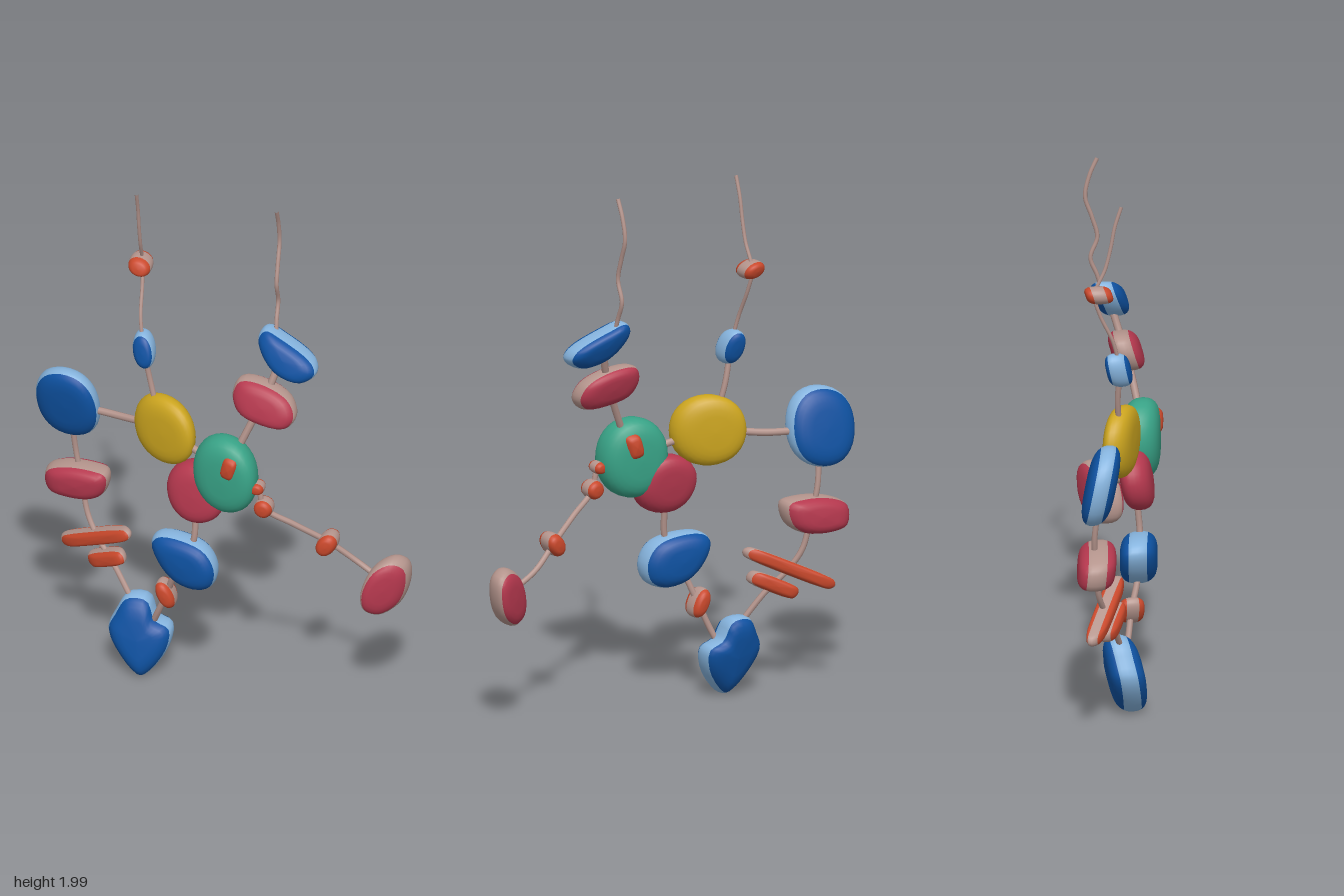
import * as THREE from 'three';

const paint = (name, color) => {
  const m = new THREE.MeshStandardMaterial({ color });
  m.name = name;
  return m;
};

export function createModel() {
  const blue = paint('blue', 0x0e52a2), paleBlue = paint('pale blue', 0x86b4de);
  const crimson = paint('crimson', 0xb5384e), orange = paint('orange', 0xc9482b);
  const clay = paint('clay pink', 0xb5958d), yellow = paint('yellow', 0xcca51f);
  const teal = paint('teal', 0x38a286);
  const group = new THREE.Group();

  // rounded outline, clockwise, relative to the stone's centre
  const oval = (w, h, turn = 0, power = 0.95) => {
    const pts = [];
    for (let i = 0; i < 12; i++) {
      const a = (-i / 12) * Math.PI * 2, c = Math.cos(a), s = Math.sin(a);
      const x = w * Math.sign(c) * Math.abs(c) ** power, y = h * Math.sign(s) * Math.abs(s) ** power;
      pts.push([x * Math.cos(turn) - y * Math.sin(turn), x * Math.sin(turn) + y * Math.cos(turn)]);
    }
    return pts;
  };

  // a pebble: rounded clockwise loops stacked through its depth, leaning by a slope
  // in x and y, with painted front and back faces and a rim of another colour
  function stone(name, [cx, cy, cz], outline, depth, [sx, sy], face, rim = face, rimRows = 2) {
    const curve = new THREE.CatmullRomCurve3(
      outline.map(([x, y]) => new THREE.Vector3(x, y, 0)), true, 'centripetal');
    const N = 32, R = 14, loop = curve.getPoints(N);
    const pos = [], faceIdx = [], rimIdx = [];
    for (let r = 0; r <= R; r++) {
      const a = Math.PI * (0.5 - r / R);
      const k = Math.max(Math.cos(a), 1e-8) ** 0.52;
      const t = Math.sign(Math.sin(a)) * Math.abs(Math.sin(a)) ** 0.85;
      for (let i = 0; i < N; i++) {
        const x = loop[i].x * k, y = loop[i].y * k;
        pos.push(cx + x, cy + y, cz + sx * x + sy * y + depth * t);
      }
    }
    for (let r = 0; r < R; r++) {
      const list = Math.abs(r + 0.5 - R / 2) < rimRows ? rimIdx : faceIdx;
      for (let i = 0; i < N; i++) {
        const j = (i + 1) % N, a = r * N + i, b = r * N + j, c = a + N, d = b + N;
        list.push(a, b, c, b, d, c);
      }
    }
    const geo = new THREE.BufferGeometry();
    geo.setAttribute('position', new THREE.Float32BufferAttribute(pos, 3));
    geo.setIndex([...faceIdx, ...rimIdx]);
    geo.addGroup(0, faceIdx.length, 0);
    geo.addGroup(faceIdx.length, rimIdx.length, 1);
    geo.computeVertexNormals();
    const mesh = new THREE.Mesh(geo, [face, rim]);
    mesh.name = name;
    group.add(mesh);
  }

  // cord through a few points
  function cord(name, radius, pts) {
    const curve = new THREE.CatmullRomCurve3(pts.map(p => new THREE.Vector3(...p)));
    const mesh = new THREE.Mesh(new THREE.TubeGeometry(curve, pts.length * 8, radius, 8), clay);
    mesh.name = name;
    group.add(mesh);
  }

  // large stones
  stone('bigBlueStone', [-0.61, 1.02, -0.125], oval(0.125, 0.148, 0.1, 0.9), 0.058, [0.2, 0.2], blue, paleBlue);
  stone('yellowStone', [-0.207, 1.038, 0.02], oval(0.127, 0.135), 0.055, [0.42, 0], yellow);
  stone('tealStone', [0.052, 0.95, 0.138], oval(0.127, 0.153), 0.072, [0.22, 0], teal);
  stone('roundCrimsonStone', [-0.068, 0.838, 0.1], oval(0.115, 0.115, 0.3), 0.06, [0.2, -0.15], crimson);
  stone('tealInlay', [0.077, 1.005, 0.142], oval(0.037, 0.058, -0.25, 0.6), 0.082, [0.22, 0], orange);

  // right upper strand
  stone('upperCrimsonStone', [0.192, 1.25, 0.105], [[-0.125, 0.02], [-0.1, 0.075], [0, 0.075],
    [0.1, 0.03], [0.125, -0.03], [0.09, -0.075], [-0.03, -0.07], [-0.1, -0.04]], 0.058, [0.1, -0.3], crimson, clay);
  stone('upperBlueStone', [0.26, 1.435, 0.055], [[-0.11, 0.05], [-0.085, 0.085], [-0.02, 0.065],
    [0.11, -0.005], [0.125, -0.045], [0.07, -0.085], [-0.02, -0.07], [-0.08, -0.02]], 0.06, [0.1, -0.35], blue, paleBlue);

  // left upper strand
  stone('topOrangeBead', [-0.325, 1.66, -0.085], oval(0.045, 0.034, -0.3), 0.05, [0, -0.3], orange, clay);
  stone('smallBlueStone', [-0.292, 1.35, -0.005], oval(0.042, 0.068, 0.2), 0.046, [0.2, -0.2], blue, paleBlue, 3);

  // side branch
  stone('branchBeadA', [0.18, 0.925, 0.17], oval(0.028, 0.024), 0.035, [0, 0], orange, clay);
  stone('branchBeadB', [0.205, 0.845, 0.17], oval(0.036, 0.036, -0.6), 0.04, [0, 0], orange, clay);
  stone('branchBeadC', [0.43, 0.69, 0.105], oval(0.036, 0.05, -0.6), 0.05, [-0.1, 0], orange, clay);
  stone('branchCrimsonStone', [0.645, 0.53, 0.085], [[0.03, 0.115], [0.08, 0.085], [0.083, 0], [0.05, -0.075],
    [-0.02, -0.115], [-0.075, -0.09], [-0.085, -0.02], [-0.04, 0.08]], 0.06, [-0.4, 0], crimson, clay, 3);

  // lower loop, left side
  stone('sideCrimsonStone', [-0.572, 0.692, -0.135], [[-0.125, 0.025], [-0.06, 0.06], [0.06, 0.07], [0.12, 0.055],
    [0.11, -0.02], [0.06, -0.06], [-0.06, -0.07], [-0.12, -0.05]], 0.072, [0.15, 0.1], crimson, clay);
  stone('longOrangeDisc', [-0.495, 0.485, -0.09], oval(0.168, 0.026, 0.46, 0.5), 0.038, [0.5, 0], orange, clay);
  stone('shortOrangeDisc', [-0.445, 0.422, -0.055], oval(0.088, 0.029, 0.46, 0.55), 0.038, [0.5, 0], orange, clay);
  stone('bottomBlueStone', [-0.3, 0.16, 0.018], [[-0.12, 0.02], [-0.095, 0.085], [-0.055, 0.148], [0.025, 0.148],
    [0.06, 0.075], [0.118, 0.045], [0.108, -0.04], [0.04, -0.135], [0.01, -0.15], [-0.06, -0.09]],
    0.068, [0, -0.2], blue, paleBlue);

  // lower loop, right side
  stone('lowerOrangeBead', [-0.192, 0.37, 0.06], oval(0.032, 0.058, 0.45), 0.046, [0, 0], orange, clay);
  stone('lowerBlueStone', [-0.112, 0.54, 0.1], [[-0.13, 0.06], [-0.1, 0.095], [0, 0.1], [0.09, 0.07],
    [0.13, 0], [0.115, -0.07], [0.06, -0.1], [-0.03, -0.085], [-0.1, -0.02]], 0.07, [0.2, 0], blue, paleBlue);

  // cords
  cord('leftHangingCord', 0.007, [[-0.321, 2, 0], [-0.321, 1.92, -0.025], [-0.321, 1.84, -0.04], [-0.321, 1.76, -0.06],
    [-0.323, 1.66, -0.1], [-0.318, 1.58, -0.08], [-0.312, 1.47, -0.03], [-0.295, 1.35, 0]]);
  cord('rightHangingCord', 0.008, [[0.21, 2, 0], [0.21, 1.93, -0.03], [0.21, 1.85, -0.045], [0.21, 1.77, -0.02],
    [0.21, 1.69, 0], [0.21, 1.61, -0.025], [0.21, 1.54, 0], [0.215, 1.44, 0.03]]);
  cord('leftNeckCord', 0.011, [[-0.295, 1.35, 0], [-0.27, 1.22, -0.005], [-0.235, 1.08, 0.01]]);
  cord('rightNeckCord', 0.014, [[0.24, 1.43, 0.05], [0.21, 1.32, 0.08], [0.16, 1.2, 0.11], [0.08, 1.02, 0.14]]);
  cord('middleCord', 0.014, [[-0.6, 1.01, -0.12], [-0.42, 1.015, -0.075], [-0.21, 1.03, 0.02], [0.04, 0.96, 0.13]]);
  cord('branchCord', 0.011, [[0.08, 0.95, 0.15], [0.18, 0.92, 0.17], [0.205, 0.84, 0.17], [0.31, 0.77, 0.14],
    [0.43, 0.69, 0.1], [0.53, 0.61, 0.075], [0.64, 0.54, 0.085]]);
  cord('leftLoopCord', 0.011, [[-0.6, 0.95, -0.13], [-0.585, 0.8, -0.145], [-0.56, 0.68, -0.135], [-0.535, 0.56, -0.12],
    [-0.49, 0.48, -0.09], [-0.42, 0.4, -0.05], [-0.33, 0.27, 0]]);
  cord('rightLoopCord', 0.012, [[-0.26, 0.2, 0.02], [-0.23, 0.27, 0.04], [-0.19, 0.37, 0.06], [-0.15, 0.48, 0.09],
    [-0.08, 0.62, 0.11], [-0.06, 0.8, 0.1], [0.03, 0.93, 0.13]]);

  return group;
}
